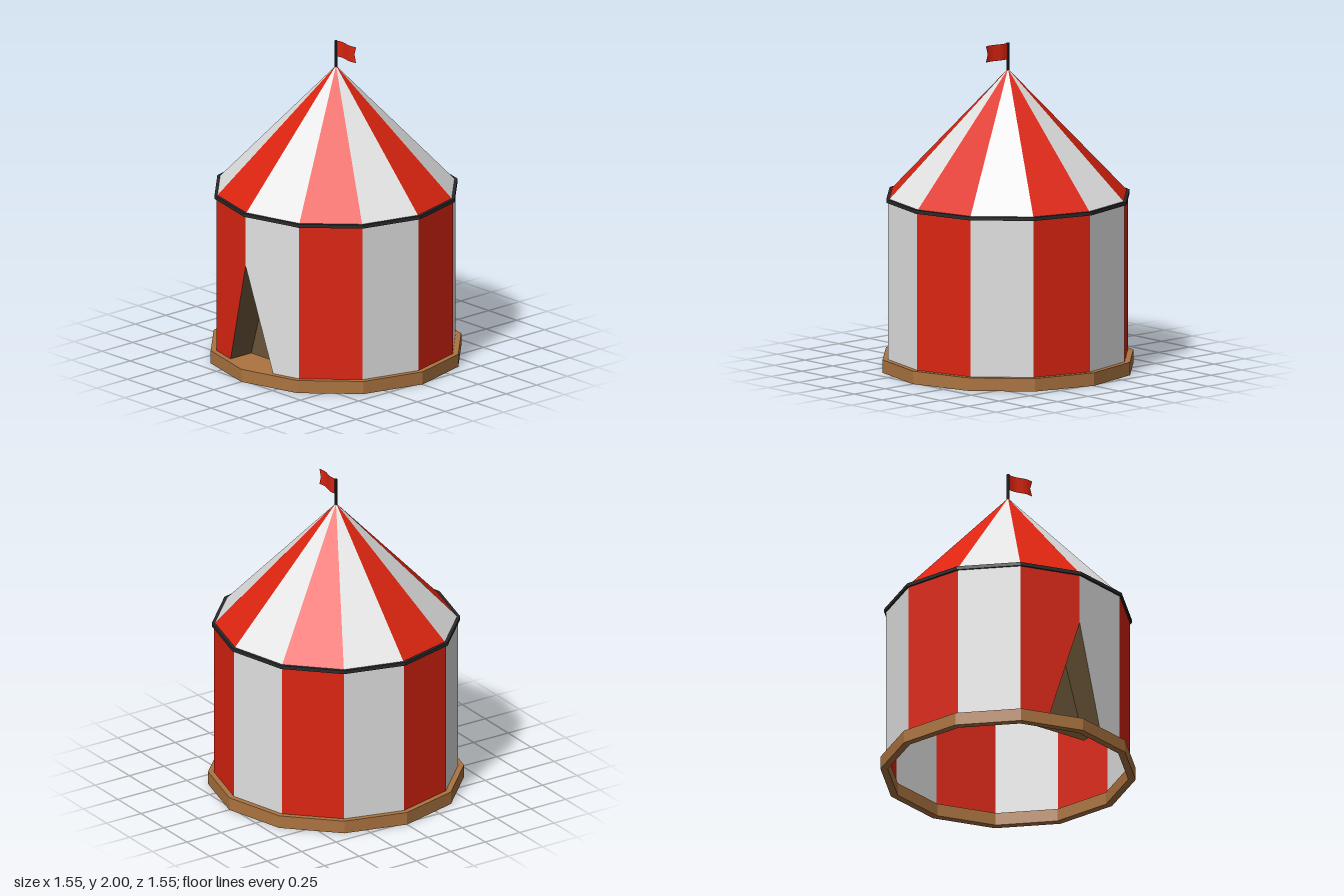
import * as THREE from 'three';

const SIDES = 12, R = 0.74, FLOOR = 0.08, EAVES = 1.06, APEX = 1.84;
const DOOR_X = 0.19, DOOR_TOP = 0.73, DOOR_BACK = 0.52;
const DOOR_Z = R - DOOR_X * Math.tan(Math.PI / SIDES);

function material(name, color, side = THREE.DoubleSide) {
  const m = new THREE.MeshStandardMaterial({ color, side, flatShading: true });
  m.name = name;
  return m;
}

function mesh(name, geometry, mat) {
  const m = new THREE.Mesh(geometry, mat);
  m.name = name;
  return m;
}

// Flat convex polygon, corners counter-clockwise as seen from its front
function polygon(points) {
  const tris = [];
  for (let i = 1; i < points.length - 1; i++) tris.push(points[0], points[i], points[i + 1]);
  const g = new THREE.BufferGeometry().setFromPoints(tris.map(p => new THREE.Vector3(...p)));
  g.computeVertexNormals();
  return g;
}

// Corner i of the twelve-sided plan; corner 0 is at the front
function corner(i, y) {
  const a = (i / SIDES) * Math.PI * 2;
  return [R * Math.sin(a), y, R * Math.cos(a)];
}

// Twelve-sided hollow ring
function ring(outer, inner, y, height) {
  const loop = r => Array.from({ length: SIDES }, (_, i) => {
    const a = (i / SIDES) * Math.PI * 2;
    return new THREE.Vector2(r * Math.cos(a), r * Math.sin(a));
  });
  const shape = new THREE.Shape(loop(outer));
  shape.holes.push(new THREE.Path(loop(inner)));
  const g = new THREE.ExtrudeGeometry(shape, { depth: height, bevelEnabled: false });
  return g.rotateX(-Math.PI / 2).translate(0, y, 0);
}

export function createModel() {
  const red = material('red canvas', 0xdc2410);
  const white = material('white canvas', 0xe2e2e2);
  const wood = material('wood', 0xac7440);
  const lining = material('doorway lining', 0x6b5638);
  const dark = material('dark trim', 0x2a2a2c);

  const tent = new THREE.Group();
  tent.name = 'stripedTent';

  // Base and eaves trim
  tent.add(mesh('baseRing', ring(0.775, 0.73, 0, FLOOR), wood));
  tent.add(mesh('eavesBand', ring(0.752, 0.73, 1.045, 0.022), dark));

  // Striped walls and roof
  const walls = new THREE.Group(), roof = new THREE.Group();
  walls.name = 'walls';
  roof.name = 'roof';
  const jamb = s => [s * DOOR_X, FLOOR, DOOR_Z];
  const doorTop = [0, DOOR_TOP, R];
  for (let i = 0; i < SIDES; i++) {
    const mat = i % 2 ? red : white;
    const points = [corner(i, FLOOR), corner(i + 1, FLOOR), corner(i + 1, EAVES), corner(i, EAVES)];
    // The two front panels are cut away along the doorway
    if (i === 0) points.splice(0, 1, doorTop, jamb(1));
    if (i === SIDES - 1) points.splice(1, 1, jamb(-1), doorTop);
    walls.add(mesh('wallPanel', polygon(points), mat));
    roof.add(mesh('roofPanel', polygon([corner(i, EAVES), corner(i + 1, EAVES), [0, APEX, 0]]), mat));
  }
  tent.add(walls, roof);

  // Doorway recess
  const doorway = new THREE.Group();
  doorway.name = 'doorway';
  const backL = [DOOR_X, FLOOR, DOOR_BACK], backR = [-DOOR_X, FLOOR, DOOR_BACK];
  const backTop = [0, DOOR_TOP, DOOR_BACK];
  doorway.add(
    mesh('doorwayBack', polygon([backR, backL, backTop]), lining),
    mesh('doorwayRightSide', polygon([jamb(-1), backR, backTop, doorTop]), lining),
    mesh('doorwayLeftSide', polygon([backL, jamb(1), doorTop, backTop]), lining),
    mesh('doorwayFloor', polygon([backR, jamb(-1), [0, FLOOR, R], jamb(1), backL]), wood)
  );
  tent.add(doorway);

  // Flagpole
  const pole = new THREE.CylinderGeometry(0.008, 0.008, 0.2, 8).translate(0, 1.9, 0);
  tent.add(mesh('flagpole', pole, dark));

  // Waving swallow-tailed flag
  const flag = new THREE.PlaneGeometry(0.18, 0.1, 8, 2).translate(0.09, 1.95, 0);
  const p = flag.attributes.position;
  for (let i = 0; i < p.count; i++) {
    const t = p.getX(i) / 0.18;
    if (t > 0.99 && Math.abs(p.getY(i) - 1.95) < 0.01) p.setX(i, 0.165);
    p.setZ(i, -0.008 * Math.sin(t * Math.PI * 2));
  }
  flag.computeVertexNormals();
  tent.add(mesh('flag', flag, red));

  return tent;
}
